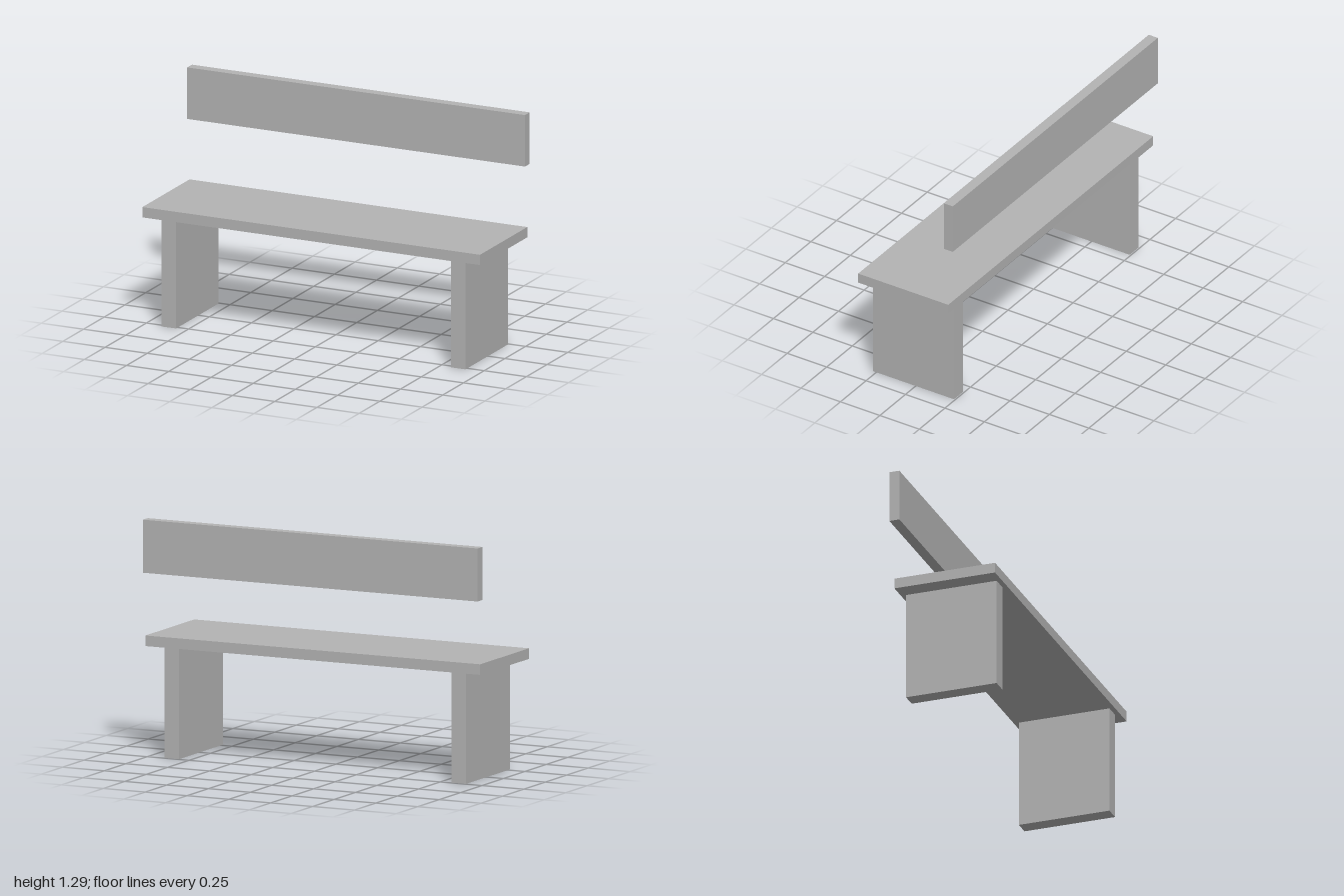
import * as THREE from 'three';

export function createModel() {
  const bench = new THREE.Group();
  bench.name = 'bench';
  const grey = new THREE.MeshStandardMaterial({ color: 0xb3b3b3 });
  grey.name = 'light grey';

  // Box given by its size and the centre of its underside
  function slab(name, width, height, depth, x, bottom, z) {
    const geometry = new THREE.BoxGeometry(width, height, depth);
    geometry.translate(0, height / 2, 0);
    const mesh = new THREE.Mesh(geometry, grey);
    mesh.name = name;
    mesh.position.set(x, bottom, z);
    bench.add(mesh);
  }

  // Seat plank
  slab('seat', 2, 0.057, 0.571, 0, 0.6, 0.0145);

  // Slab legs, mirrored left and right
  for (const side of [1, -1]) {
    slab(side > 0 ? 'leftLeg' : 'rightLeg', 0.086, 0.6, 0.514, side * 0.857, 0, 0.0145);
  }

  // Floating backrest board
  slab('backrest', 2, 0.286, 0.057, 0, 1, -0.2715);

  return bench;
}
